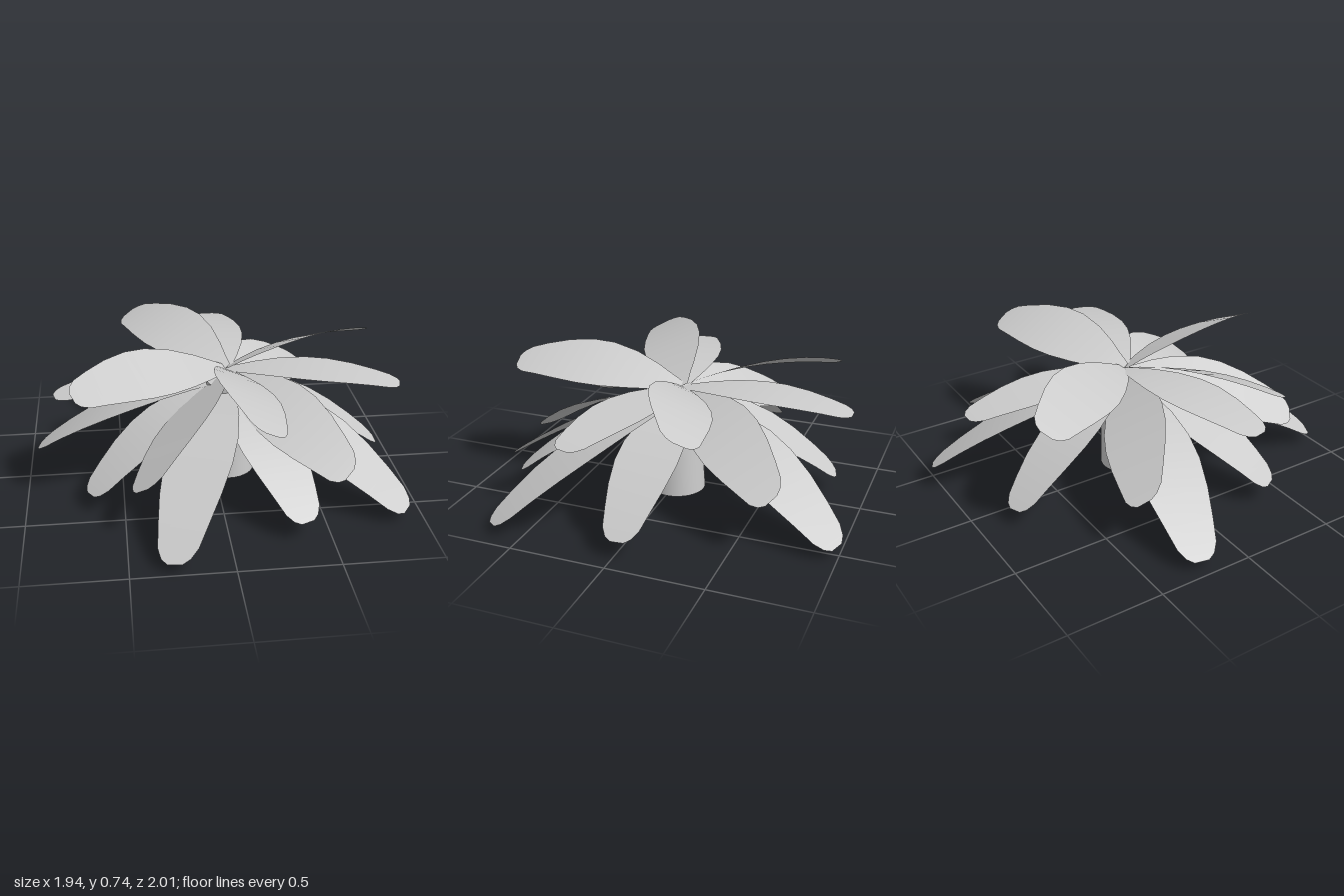
import * as THREE from 'three';

const material = new THREE.MeshStandardMaterial({ color: 0xcccccc, side: THREE.DoubleSide });
const CROWN = { x: 0.07, z: -0.03 };

// Leaf outline: position along the midrib, half width
const OUTLINE = [[0, 0.035], [0.08, 0.06], [0.16, 0.09], [0.3, 0.132], [0.45, 0.158], [0.58, 0.16],
  [0.72, 0.142], [0.85, 0.114], [0.94, 0.092], [0.98, 0.066], [1, 0.034]];

// Tiers of leaves: midrib heights at base, middle and tip, roll about the midrib,
// and tip positions (x, z, optional extra roll)
const TIERS = [
  { name: 'topLeaf', base: 0.575, mid: 0.667, tip: 0.64, roll: 0.43, width: 1.05,
    tips: [[0.17, 0.88], [-0.73, 0.39], [-0.42, -0.76], [0.9, -0.34]] },
  { name: 'flatLeaf', base: 0.57, mid: 0.605, tip: 0.55, roll: 0, width: 0.95,
    tips: [[0.96, 0.21], [-0.83, 0.17], [0.07, -0.94]] },
  { name: 'tiltedLeaf', base: 0.545, mid: 0.474, tip: 0.3, roll: -0.54, width: 1.08,
    tips: [[0.63, -0.69], [0.59, 0.69], [-0.42, 0.73], [-0.71, -0.41]] },
  { name: 'droopingLeaf', base: 0.51, mid: 0.388, tip: 0.1, roll: -0.06, width: 1.03,
    tips: [[0.92, -0.03], [0.375, 0.78], [-0.67, 0.4], [-0.17, -0.83, -0.06]] },
  { name: 'longLeaf', base: 0.51, mid: 0.37, tip: 0.055, roll: -0.16, width: 1.1,
    tips: [[0.52, -0.99], [0.91, 0.65], [-0.29, 0.99], [-0.96, -0.25, 0.16]] },
];

// Thin blade swept along a bowed midrib
function leafGeometry({ base, mid, tip, roll, width }, [tipX, tipZ, extraRoll = 0]) {
  const angle = roll + extraRoll;
  const along = new THREE.Vector3(tipX - CROWN.x, 0, tipZ - CROWN.z);
  const side = new THREE.Vector3(along.z, 0, -along.x).normalize().multiplyScalar(Math.cos(angle));
  side.y = -Math.sin(angle);
  const rib = new THREE.QuadraticBezierCurve3(
    new THREE.Vector3(CROWN.x, base, CROWN.z),
    new THREE.Vector3(CROWN.x + along.x / 2, 2 * mid - (base + tip) / 2, CROWN.z + along.z / 2),
    new THREE.Vector3(tipX, tip, tipZ));
  const positions = [], index = [];
  OUTLINE.forEach(([t, half], i) => {
    const centre = rib.getPoint(t);
    for (const s of [1, -1]) {
      positions.push(...centre.clone().addScaledVector(side, s * half * width).toArray());
    }
    if (i) {
      const a = 2 * i - 2;
      index.push(a, a + 1, a + 2, a + 1, a + 3, a + 2);
    }
  });
  const geometry = new THREE.BufferGeometry();
  geometry.setAttribute('position', new THREE.Float32BufferAttribute(positions, 3));
  geometry.setIndex(index);
  geometry.computeVertexNormals();
  return geometry;
}

// Tapered trunk leaning slightly to one side
function trunkGeometry() {
  const height = 0.52;
  const geometry = new THREE.CylinderGeometry(0.128, 0.153, height, 32);
  geometry.translate(0, height / 2, -0.008);
  const p = geometry.attributes.position;
  for (let i = 0; i < p.count; i++) p.setX(i, p.getX(i) + 0.072 + 0.025 * p.getY(i) / height);
  geometry.computeBoundingSphere();
  return geometry;
}

export function createModel() {
  const model = new THREE.Group();
  model.name = 'palm';

  const trunk = new THREE.Mesh(trunkGeometry(), material);
  trunk.name = 'trunk';
  model.add(trunk);

  const crown = new THREE.Group();
  crown.name = 'crown';
  for (const tier of TIERS) {
    for (const tip of tier.tips) {
      const leaf = new THREE.Mesh(leafGeometry(tier, tip), material);
      leaf.name = tier.name;
      crown.add(leaf);
    }
  }
  model.add(crown);
  return model;
}
